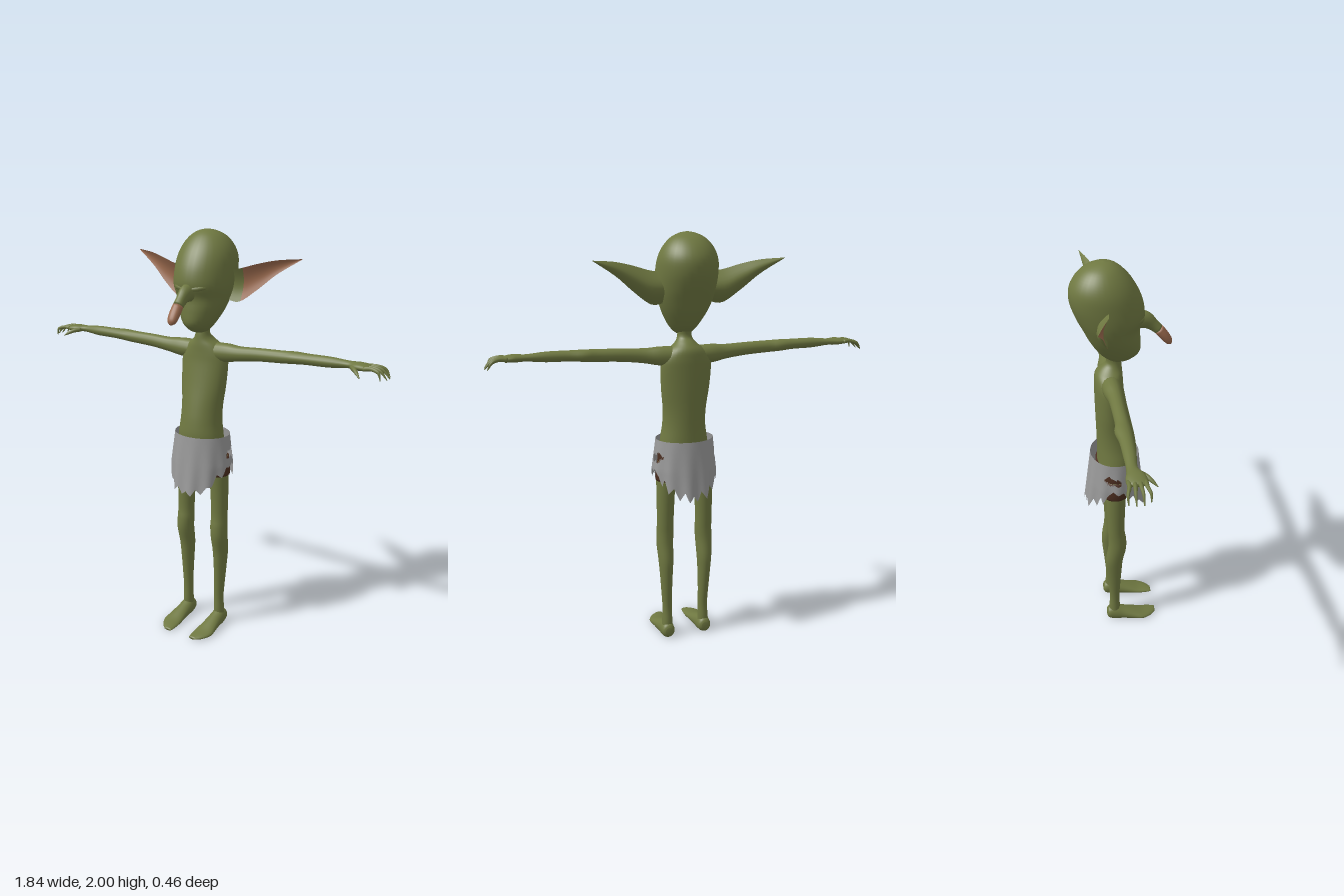
import * as THREE from 'three';
import { mergeVertices } from 'three/addons/utils/BufferGeometryUtils.js';

const V = (x, y, z) => new THREE.Vector3(x, y, z);
const X = V(1, 0, 0), Y = V(0, 1, 0), Z = V(0, 0, 1);

// Grid surface from a point rule; keep() can leave holes
function surface(fn, nu, nv, flip = false, keep = () => true) {
  const pos = [], index = [];
  for (let i = 0; i <= nu; i++)
    for (let j = 0; j <= nv; j++) pos.push(...fn(i / nu, j / nv).toArray());
  for (let i = 0; i < nu; i++) {
    for (let j = 0; j < nv; j++) {
      if (!keep(fn((i + 0.5) / nu, (j + 0.5) / nv))) continue;
      const a = i * (nv + 1) + j, b = a + 1, c = a + nv + 1, d = c + 1;
      if (flip) index.push(a, c, b, b, c, d);
      else index.push(a, b, c, b, d, c);
    }
  }
  let geo = new THREE.BufferGeometry();
  geo.setAttribute('position', new THREE.Float32BufferAttribute(pos, 3));
  geo.setIndex(index);
  geo = mergeVertices(geo, 1e-5);
  geo.computeVertexNormals();
  return geo;
}

// Smooth capped loft through rows of [x, y, z, radiusU, radiusV]
function loft(rows, ref = Z, axis = null, sides = 24, steps = 4) {
  const path = new THREE.CatmullRomCurve3(rows.map(r => V(r[0], r[1], r[2])), false, 'catmullrom');
  const radii = new THREE.CatmullRomCurve3(rows.map(r => V(r[3], r[4], 0)), false, 'catmullrom');
  const n = (rows.length - 1) * steps;
  return surface((u, v) => {
    const k = Math.round(u * (n + 2)) - 1;
    const t = Math.min(Math.max(k / n, 0), 1);
    const p = path.getPoint(t);
    if (k < 0 || k > n) return p;
    const T = axis || path.getTangent(t), r = radii.getPoint(t), a = (v % 1) * Math.PI * 2;
    const U = ref.clone().cross(T).normalize(), W = T.clone().cross(U);
    return p.addScaledVector(U, Math.max(r.x, 0) * Math.cos(a))
      .addScaledVector(W, Math.max(r.y, 0) * Math.sin(a));
  }, n + 2, sides);
}

// Upright section given by its front and back depth and half width
const slice = (y, front, back, rx, x = 0) => [x, y, (front + back) / 2, rx, (front - back) / 2];

// Ragged hem of the cloth: [degrees from the front, height]
const HEM = [[0, .77], [10, .75], [18, .785], [28, .76], [38, .80], [48, .80], [58, .86], [68, .84],
  [78, .89], [90, .88], [100, .90], [112, .87], [120, .82], [126, .86], [135, .79], [145, .82],
  [155, .76], [165, .80], [172, .75], [180, .78]];
function hemHeight(deg) {
  const d = Math.min(deg, 360 - deg);
  const i = Math.max(1, HEM.findIndex(h => h[0] >= d));
  const [a, b] = [HEM[i - 1], HEM[i]];
  return THREE.MathUtils.mapLinear(d, a[0], b[0], a[1], b[1]);
}

export function createModel() {
  const model = new THREE.Group();
  model.name = 'goblin';
  const material = (name, color, side = THREE.FrontSide) => {
    const m = new THREE.MeshStandardMaterial({ color, side });
    m.name = name;
    return m;
  };
  const skin = material('green skin', 0x6f7841);
  const pink = material('brown pink skin', 0x99694d);
  const cloth = material('grey cloth', 0x9a9a9a, THREE.DoubleSide);
  const brown = material('dark brown cloth', 0x4a2d1f);
  const add = (name, geo, mat) => {
    const mesh = new THREE.Mesh(geo, mat);
    mesh.name = name;
    model.add(mesh);
    return mesh;
  };

  // Head, narrow at the chin and swelling to the back
  add('head', loft([
    slice(1.533, .0, -.05, .015), slice(1.545, .04, -.065, .04), slice(1.58, .08, -.105, .07),
    slice(1.64, .083, -.145, .105), slice(1.70, .08, -.175, .127), slice(1.755, .1, -.203, .139),
    slice(1.82, .092, -.226, .142), slice(1.88, .068, -.228, .137), slice(1.93, .036, -.205, .117),
    slice(1.97, -.002, -.165, .083), slice(1.992, -.037, -.118, .042), slice(2, -.07, -.08, .005),
  ], Z, Y, 32), skin);

  // Neck and torso
  add('torso', loft([
    slice(.84, .0, -.09, .10), slice(.92, .045, -.12, .125), slice(1.02, .07, -.12, .118),
    slice(1.10, .065, -.12, .106), slice(1.18, .05, -.122, .105), slice(1.28, .028, -.125, .117),
    slice(1.38, .01, -.127, .123), slice(1.43, .005, -.127, .117), slice(1.47, .003, -.122, .088),
    slice(1.50, .0, -.10, .05), slice(1.53, -.003, -.072, .034), slice(1.58, -.01, -.08, .036),
  ], Z, Y, 32), skin);

  // Long drooping nose with a paler tip
  add('nose', loft([[0, 1.73, .05, .045, .04], [0, 1.725, .1, .04, .032],
    [0, 1.70, .137, .028, .025], [0, 1.677, .163, .024, .025]], X, null, 16), skin);
  add('noseTip', loft([[0, 1.677, .163, .024, .025], [0, 1.645, .19, .022, .027],
    [0, 1.615, .212, .017, .022], [0, 1.602, .221, .005, .007]], X, null, 16), pink);

  // Underpants
  add('underpants', loft([slice(.86, .01, -.10, .12), slice(.92, .052, -.128, .133),
    slice(1.0, .072, -.128, .127)], Z, Y), brown);

  // Ragged cloth with a torn hole on each hip
  add('loincloth', surface((u, v) => {
    const a = v * Math.PI * 2, y = THREE.MathUtils.lerp(1.04, hemHeight((v % 1) * 360), u);
    const drop = (1.04 - y) / .29;
    const fold = 1 + .035 * drop * Math.sin(a * 11);
    const rx = .141 + .017 * Math.min(1, drop * 2), rz = .117 + .032 * drop;
    return V(rx * fold * Math.sin(a), y, -.036 + rz * fold * Math.cos(a));
  }, 20, 144, true, p => Math.abs(p.x) < .1
    || ((p.z + .06) / .042) ** 2 + ((p.y - .953 + (p.z + .06) * .25) / (.02 + .006 * Math.sin(p.z * 150))) ** 2 > 1), cloth);

  for (const s of [1, -1]) {
    const side = s > 0 ? 'left' : 'right';
    const mir = rows => rows.map(([x, ...rest]) => [x * s, ...rest]);

    // Brow ridge
    add(side + 'Brow', loft(mir([[.02, 1.745, .085, .012, .014], [.06, 1.75, .073, .013, .014],
      [.1, 1.755, .035, .008, .01]]), Z, null, 10), skin);

    // Ear: green back and root, paler hollow in front
    const top = new THREE.CatmullRomCurve3([V(.1, 1.82, -.07), V(.18, 1.833, -.075),
      V(.25, 1.853, -.085), V(.34, 1.873, -.11), V(.45, 1.882, -.147)]);
    const low = new THREE.CatmullRomCurve3([V(.1, 1.69, -.075), V(.165, 1.68, -.08),
      V(.25, 1.735, -.095), V(.34, 1.81, -.118), V(.45, 1.88, -.147)]);
    const ear = (u0, u1, bulge, flip) => surface((u, v) => {
      const t = u0 + (u1 - u0) * u, a = low.getPoint(t), b = top.getPoint(t);
      const p = a.clone().lerp(b, v);
      p.z -= bulge * a.distanceTo(b) * Math.sin(Math.PI * v);
      p.x *= s;
      return p;
    }, 14, 10, flip);
    add(side + 'EarBack', ear(0, 1, .32, s < 0), skin);
    add(side + 'EarRoot', ear(0, .28, .14, s > 0), skin);
    add(side + 'EarInner', ear(.28, 1, .14, s > 0), pink);

    // Arm and palm
    add(side + 'Arm', loft(mir([
      [.06, 1.44, -.058, .045, .045], [.13, 1.443, -.055, .044, .042], [.2, 1.447, -.05, .035, .034],
      [.3, 1.455, -.05, .031, .031], [.42, 1.46, -.05, .029, .031], [.48, 1.463, -.054, .028, .036],
      [.55, 1.465, -.05, .025, .03], [.65, 1.466, -.05, .024, .027], [.74, 1.467, -.053, .016, .023],
      [.79, 1.467, -.046, .018, .04], [.83, 1.466, -.045, .013, .041], [.845, 1.465, -.045, .006, .034],
    ]), Z, null, 16), skin);

    // Four curled fingers and a thumb
    [-.078, -.056, -.034, -.012].forEach((z, i) => {
      const tip = [.91, .92, .918, .9][i], spread = (z + .045) * 1.3 - .045;
      add(side + 'Finger' + (i + 1), loft(mir([[.82, 1.466, z, .01, .01], [.855, 1.469, z, .009, .0085],
        [.89, 1.458, spread, .007, .006], [tip, 1.427, spread, .002, .002]]), Z, null, 8), skin);
    });
    add(side + 'Thumb', loft(mir([[.76, 1.463, -.03, .011, .011], [.785, 1.458, -.002, .01, .01],
      [.805, 1.447, .018, .007, .007], [.822, 1.435, .034, .002, .002]]), Y, null, 8), skin);

    // Leg with knee and calf
    const leg = rows => rows.map(([y, f, b, rx, x]) => slice(y, f, b, rx, x * s));
    add(side + 'Leg', loft(leg([
      [.03, -.025, -.08, .03, .097], [.08, -.022, -.08, .026, .096], [.15, -.024, -.075, .024, .095],
      [.25, -.019, -.083, .027, .098], [.35, -.012, -.093, .032, .1], [.42, -.006, -.095, .037, .101],
      [.50, .01, -.083, .041, .102], [.56, .01, -.08, .042, .1], [.62, .002, -.082, .041, .1],
      [.74, .005, -.087, .044, .098], [.85, .01, -.09, .047, .095], [.93, .01, -.09, .045, .09],
    ]), Z, Y, 20), skin);
    add(side + 'UnderpantsLeg', loft(leg([[.836, .016, -.1, .052, .094], [.87, .02, -.104, .054, .092],
      [.93, .02, -.105, .052, .085]]), Z, Y, 20), brown);

    // Long flat foot, flattened at the sole
    const foot = loft(mir([
      [.097, .035, -.092, .018, .018], [.097, .035, -.08, .036, .031], [.097, .032, -.045, .045, .035],
      [.097, .026, -.005, .037, .037], [.098, .017, .05, .027, .043], [.098, .01, .1, .017, .047],
      [.088, .007, .145, .011, .036], [.076, .006, .172, .006, .02],
    ]), X, Z, 20);
    const p = foot.attributes.position;
    for (let i = 0; i < p.count; i++) p.setY(i, Math.max(0, p.getY(i)));
    foot.computeVertexNormals();
    add(side + 'Foot', foot, skin);
  }
  return model;
}
